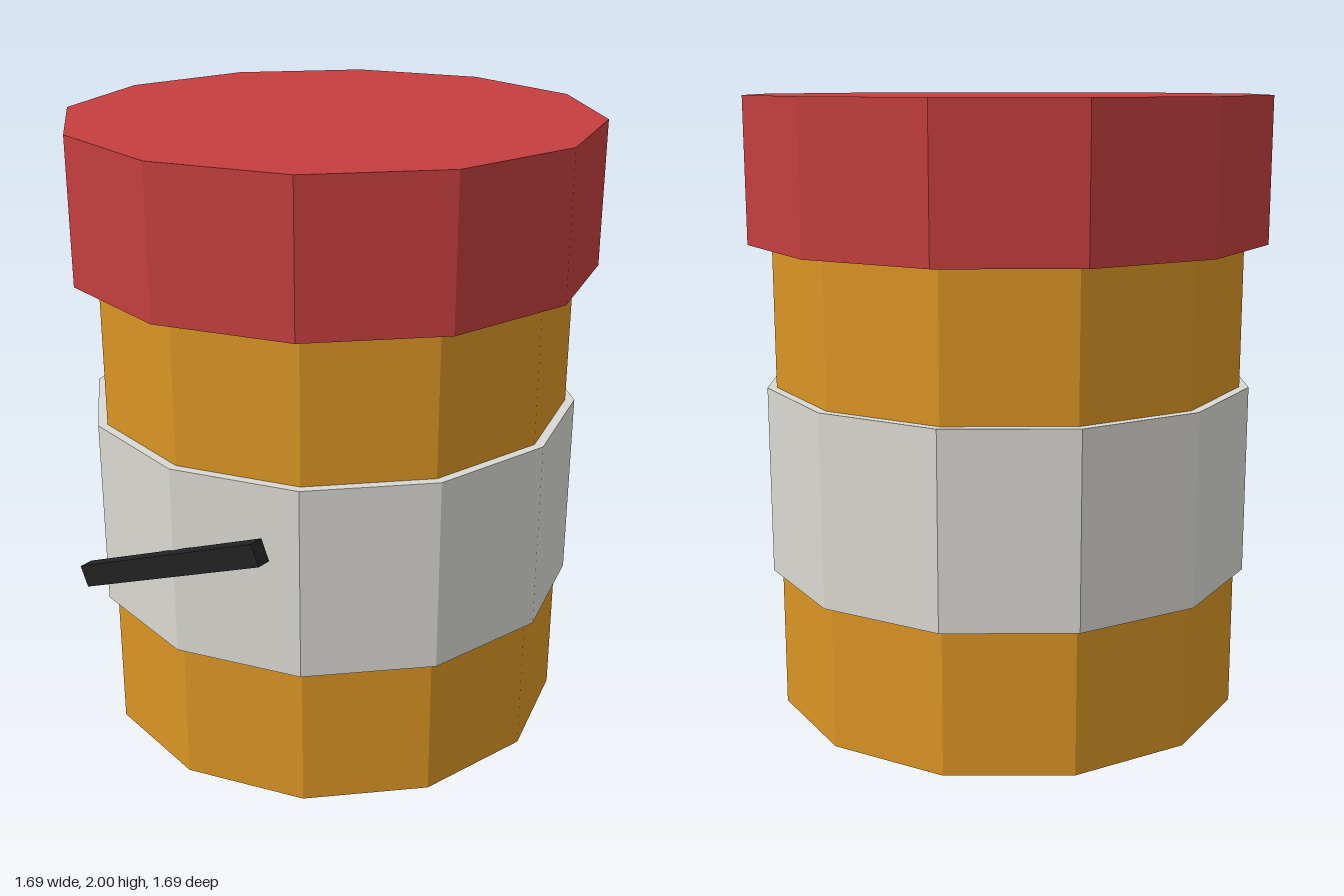
import * as THREE from 'three';

const SIDES = 12;

const flat = (name, color) => {
  const material = new THREE.MeshStandardMaterial({ color });
  material.name = name;
  material.flatShading = true;
  return material;
};

export function createModel() {
  const model = new THREE.Group();
  model.name = 'bottle';

  const amber = flat('amber', 0xd99423);
  const red = flat('red', 0xc43e3e);
  const paper = flat('paper', 0xd9d8d2);
  const ink = flat('ink', 0x222222);

  // Upright twelve-sided drum between two heights
  const drum = (name, radius, bottom, top, material) => {
    const geometry = new THREE.CylinderGeometry(radius, radius, top - bottom, SIDES);
    const mesh = new THREE.Mesh(geometry, material);
    mesh.name = name;
    mesh.position.y = (bottom + top) / 2;
    model.add(mesh);
  };

  drum('body', 0.77, 0, 1.54, amber);
  drum('label', 0.8, 0.465, 1.08, paper);
  drum('cap', 0.846, 1.54, 2, red);

  // Slanted bar across the front of the label
  const bar = new THREE.Mesh(new THREE.BoxGeometry(0.77, 0.07, 0.046), ink);
  bar.name = 'labelStripe';
  bar.position.set(0, 0.772, 0.815);
  bar.rotation.z = 0.4;
  model.add(bar);

  return model;
}
